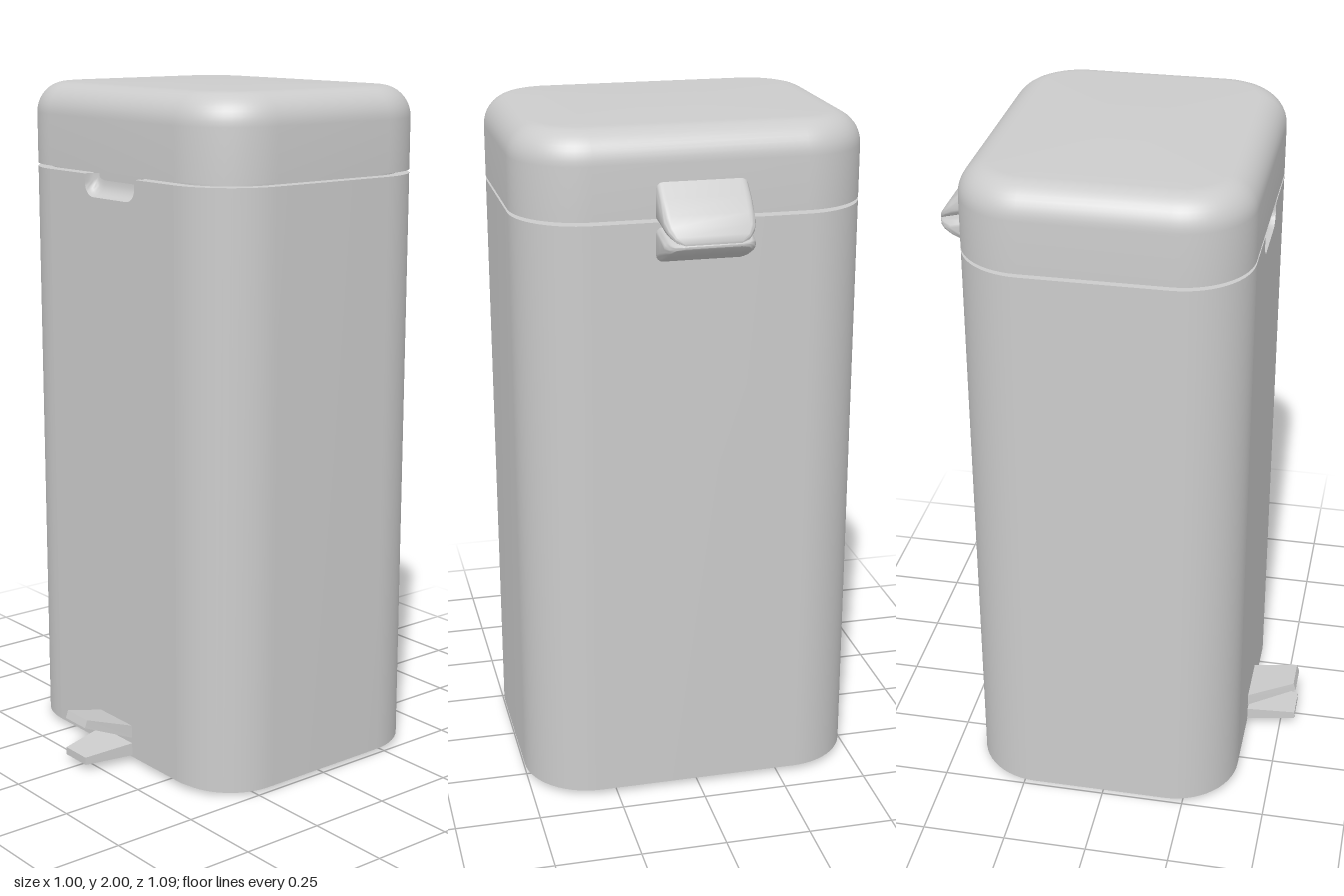
import * as THREE from 'three';
import { toCreasedNormals } from 'three/addons/utils/BufferGeometryUtils.js';

const HX = 0.5, HZ = 0.405, CZ = -0.01, R = 0.2; // footprint of the bin
const FRONT = CZ + HZ, BODY_TOP = 1.75, RIM = 0.04;

// Rounded rectangle as [u, v] pairs, starting at the right end of its +v side
function roundRect(hu, hv, r, n) {
  const pts = [];
  [[1, 1], [1, -1], [-1, -1], [-1, 1]].forEach(([su, sv], k) => {
    for (let i = 0; i <= n; i++) {
      const a = Math.PI / 2 * (1 - k - i / n);
      pts.push([su * (hu - r) + r * Math.cos(a), sv * (hv - r) + r * Math.sin(a)]);
    }
  });
  return pts;
}

// Skin over cross-section rings, each a list of [x, y, z]
function loft(rings, { closed = true, capStart = true, capEnd = true, crease = 0.6 } = {}) {
  const pos = [];
  const n = rings[0].length;
  const tri = (...p) => p.forEach((q) => pos.push(...q));
  for (let i = 0; i < rings.length - 1; i++) {
    for (let j = 0; j < (closed ? n : n - 1); j++) {
      const k = (j + 1) % n;
      const a = rings[i][j], b = rings[i][k], c = rings[i + 1][k], d = rings[i + 1][j];
      tri(a, b, c);
      tri(a, c, d);
    }
  }
  const cap = (ring, flip) => {
    const mid = [0, 1, 2].map((k) => ring.reduce((s, p) => s + p[k], 0) / n);
    ring.forEach((p, j) => {
      const q = ring[(j + 1) % n];
      if (flip) tri(mid, q, p); else tri(mid, p, q);
    });
  };
  if (closed && capStart) cap(rings[0], true);
  if (closed && capEnd) cap(rings[rings.length - 1], false);
  const g = new THREE.BufferGeometry();
  g.setAttribute('position', new THREE.Float32BufferAttribute(pos, 3));
  return toCreasedNormals(g, crease);
}

// Footprint ring at a height, drawn in by an inset
const level = (inset, y) =>
  roundRect(HX - inset, HZ - inset, R - inset, 14).map(([x, z]) => [x, y, z + CZ]);

export function createModel() {
  const model = new THREE.Group();
  const grey = new THREE.MeshStandardMaterial({ color: 0xcccccc });
  const greyBoth = new THREE.MeshStandardMaterial({ color: 0xcccccc, side: THREE.DoubleSide });
  const add = (name, geometry, material = grey, parent = model) => {
    const mesh = new THREE.Mesh(geometry, material);
    mesh.name = name;
    parent.add(mesh);
    return mesh;
  };

  // Base plate and the underside of the body
  add('base', loft([level(0.025, 0), level(0.025, 0.015), level(0, 0.015)], { capEnd: false }));

  // Body: wall and rim around three sides, with a flat front panel holding the grip
  const body = new THREE.Group();
  body.name = 'body';
  model.add(body);
  add('bodyWall', loft([level(0, 0.015), level(0, BODY_TOP), level(RIM, BODY_TOP)],
    { closed: false }), greyBoth, body);

  // Grip outline, a U from right to left, shrunk towards the top edge
  const GW = 0.12, GH = 0.065, GR = 0.04;
  const grip = (sx, sy) => {
    const pts = [[GW * sx, BODY_TOP]];
    for (let k = 0; k < 2; k++) {
      for (let i = 0; i <= 8; i++) {
        const a = -Math.PI / 2 * (k + i / 8);
        pts.push([((k ? -1 : 1) * (GW - GR) + GR * Math.cos(a)) * sx,
          BODY_TOP + (GR - GH + GR * Math.sin(a)) * sy]);
      }
    }
    pts.push([-GW * sx, BODY_TOP]);
    return pts;
  };
  const side = HX - R;
  const panel = new THREE.Shape([[-side, 0.015], [side, 0.015], [side, BODY_TOP],
    ...grip(1, 1), [-side, BODY_TOP]].map((p) => new THREE.Vector2(...p)));
  add('frontPanel', new THREE.ShapeGeometry(panel).translate(0, 0, FRONT), greyBoth, body);
  for (const s of [-1, 1]) {
    const ledge = new THREE.PlaneGeometry(side - GW, RIM).rotateX(-Math.PI / 2);
    add('frontRim', ledge.translate(s * (side + GW) / 2, BODY_TOP, FRONT - RIM / 2), grey, body);
  }

  // Scooped finger grip
  const scoop = [];
  for (let i = 0; i <= 6; i++) {
    const a = Math.PI / 2 * i / 6;
    const k = 1 - Math.cos(a);
    scoop.push(grip(1 - 0.15 * k, 1 - 0.7 * k)
      .map(([x, y]) => [x, y, FRONT - RIM * Math.sin(a)]));
  }
  add('fingerGrip', loft(scoop, { closed: false }), greyBoth, body);
  const back = new THREE.Shape(grip(0.85, 0.3).map((p) => new THREE.Vector2(...p)));
  add('gripBack', new THREE.ShapeGeometry(back).translate(0, 0, FRONT - RIM), greyBoth, body);

  // Recessed neck between body and lid
  add('neck', loft([level(RIM, BODY_TOP), level(RIM, 1.76)]));

  // Lid with a rounded top edge
  const lid = [level(0, 1.76)];
  const F = 0.09;
  for (let i = 0; i <= 10; i++) {
    const a = Math.PI / 2 * i / 10;
    lid.push(level(F * (1 - Math.cos(a)), 2 - F + F * Math.sin(a)));
  }
  add('lid', loft(lid));

  // Hinge halves, sections of [z, half width, top, bottom]
  const hinge = (name, sections) => add(name, loft(sections.map(([z, w, top, bottom]) => {
    const h = (top - bottom) / 2;
    return roundRect(w, h, Math.min(0.02, h * 0.9), 4).map(([x, y]) => [x, y + bottom + h, z]);
  }), { crease: 0.9 }));
  hinge('upperHinge', [[-0.4, 0.128, 1.872, 1.75], [-0.46, 0.128, 1.822, 1.745],
    [-0.5, 0.126, 1.785, 1.735], [-0.522, 0.118, 1.76, 1.729],
    [-0.537, 0.103, 1.737, 1.721], [-0.545, 0.08, 1.722, 1.715]]);
  hinge('lowerHinge', [[-0.4, 0.128, 1.738, 1.635], [-0.46, 0.128, 1.733, 1.657],
    [-0.505, 0.126, 1.723, 1.678], [-0.525, 0.116, 1.717, 1.69],
    [-0.537, 0.103, 1.714, 1.7], [-0.545, 0.08, 1.712, 1.706]]);

  // Tapered pedals, sections of [half width, top z, top y, bottom z, bottom y]
  const pedal = (name, sections) => add(name, loft(sections.map(([w, zt, yt, zb, yb]) =>
    [[-w, yt, zt], [w, yt, zt], [w, yb, zb], [-w, yb, zb]]), { crease: 0.3 }));
  pedal('upperPedal', [[0.05, 0.537, 0.16, 0.545, 0.137], [0.083, 0.38, 0.11, 0.38, 0.07]]);
  pedal('lowerPedal', [[0.05, 0.545, 0.043, 0.545, 0.02], [0.083, 0.38, 0.06, 0.38, 0.02]]);

  return model;
}
